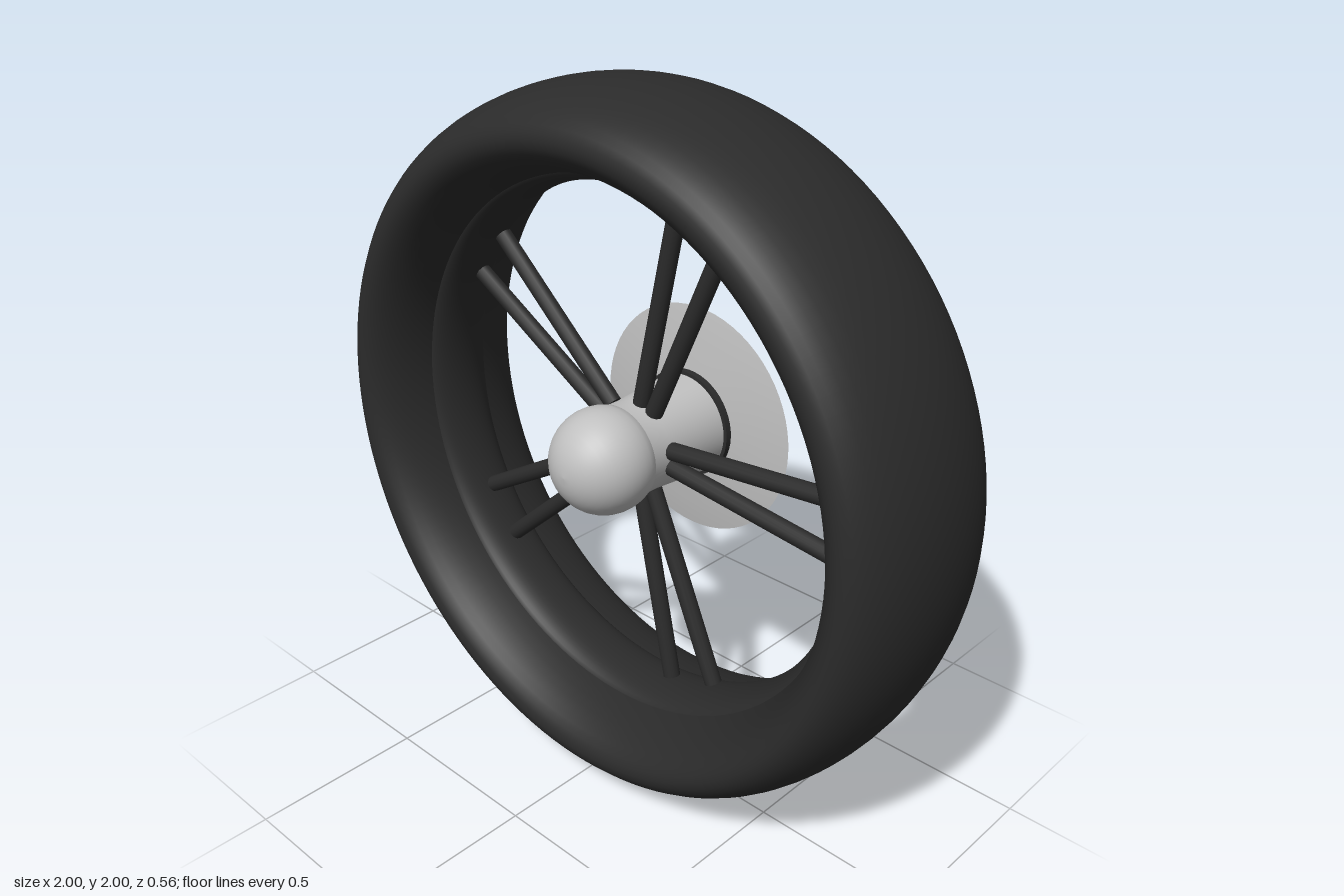
import * as THREE from 'three';

const rubber = new THREE.MeshStandardMaterial({ color: 0x2b2b2b });
rubber.name = 'dark rubber';
const metal = new THREE.MeshStandardMaterial({ color: 0xc0c0c0 });
metal.name = 'light metal';

function add(parent, name, geometry, material) {
  const mesh = new THREE.Mesh(geometry, material);
  mesh.name = name;
  parent.add(mesh);
  return mesh;
}

// Revolve [radius, z] points, listed from back to front, around the z axis
function turned(points, segments = 64) {
  return new THREE.LatheGeometry(points.map(([r, z]) => new THREE.Vector2(r, z)), segments)
    .rotateX(Math.PI / 2);
}

// Ring with an elliptical cross-section
function ovalRing(radius, halfHeight, halfWidth) {
  return new THREE.TorusGeometry(radius, halfHeight, 40, 128)
    .scale(1, 1, halfWidth / halfHeight);
}

// Straight round bar between two points
function bar(from, to, radius) {
  const dir = to.clone().sub(from);
  const q = new THREE.Quaternion().setFromUnitVectors(
    new THREE.Vector3(0, 1, 0), dir.clone().normalize());
  const mid = from.clone().add(to).multiplyScalar(0.5);
  return new THREE.CylinderGeometry(radius, radius, dir.length(), 12)
    .applyQuaternion(q).translate(mid.x, mid.y, mid.z);
}

export function createModel() {
  const root = new THREE.Group();
  root.name = 'wheel';
  const wheel = new THREE.Group();
  wheel.name = 'wheelAssembly';
  wheel.position.y = 1;
  root.add(wheel);

  // Tyre and inner rim
  add(wheel, 'tyre', ovalRing(0.88, 0.12, 0.28), rubber);
  add(wheel, 'rim', ovalRing(0.78, 0.045, 0.105), rubber);

  // Five pairs of spokes, each pair spreading outwards
  const spokes = new THREE.Group();
  spokes.name = 'spokes';
  wheel.add(spokes);
  for (let i = 0; i < 5; i++) {
    const pair = new THREE.Group();
    pair.name = 'spokePair';
    pair.rotation.z = (i * Math.PI * 2) / 5;
    spokes.add(pair);
    for (const side of [-1, 1]) {
      add(pair, 'spoke', bar(
        new THREE.Vector3(0.13, side * 0.024, 0),
        new THREE.Vector3(0.71, side * 0.083, 0), 0.025), rubber);
    }
  }

  // Hub with a domed front
  const hub = [[0.148, -0.22], [0.14, -0.1], [0.132, 0], [0.132, 0.07]];
  for (let i = 0; i <= 12; i++) {
    const a = -0.4 + (i / 12) * (Math.PI / 2 + 0.4);
    hub.push([Math.max(0, 0.15 * Math.cos(a)), 0.13 + 0.15 * Math.sin(a)]);
  }
  add(wheel, 'hub', turned(hub), metal);

  // Shallow lens-shaped brake disc
  add(wheel, 'brakeDisc',
    turned([[0, -0.252], [0.16, -0.25], [0.26, -0.246], [0.34, -0.238]]), metal);
  add(wheel, 'brakeDiscFront',
    turned([[0.34, -0.238], [0.26, -0.224], [0.14, -0.212]]), metal);

  // Dark core passing through the disc
  const core = add(wheel, 'axleCore',
    new THREE.CylinderGeometry(0.157, 0.157, 0.06, 48).rotateX(Math.PI / 2), rubber);
  core.position.z = -0.225;

  return root;
}
